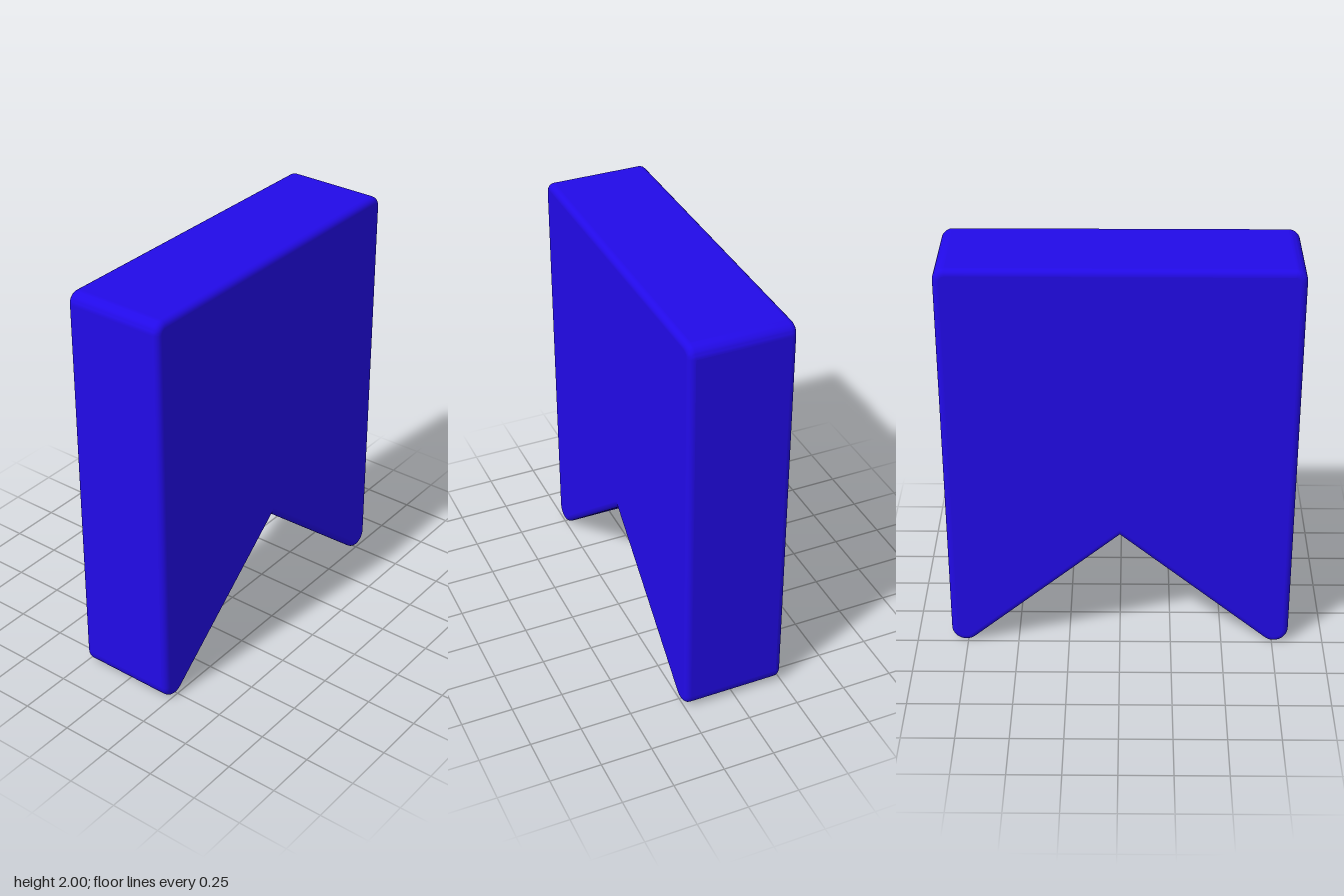
import * as THREE from 'three';
import { toCreasedNormals } from 'three/addons/utils/BufferGeometryUtils.js';

const HALF_WIDTH = 0.83, HEIGHT = 2, DEPTH = 0.5;
const NOTCH = 0.615, TIP_RADIUS = 0.07, TOP_RADIUS = 0.055, BEVEL = 0.03;

// Swallow-tailed banner outline with rounded outer corners, counterclockwise
function bannerShape() {
  const topX = HALF_WIDTH - TOP_RADIUS, topY = HEIGHT - TOP_RADIUS;
  const tipX = HALF_WIDTH - TIP_RADIUS;
  // slope of the notch edge, tangent to the rounded tip
  const rise = NOTCH - TIP_RADIUS;
  const slope = Math.atan2(rise, tipX) + Math.asin(TIP_RADIUS / Math.hypot(tipX, rise));
  const shape = new THREE.Shape();
  shape.absarc(topX, topY, TOP_RADIUS, 0, Math.PI / 2);
  shape.absarc(-topX, topY, TOP_RADIUS, Math.PI / 2, Math.PI);
  shape.absarc(-tipX, TIP_RADIUS, TIP_RADIUS, Math.PI, 1.5 * Math.PI + slope);
  shape.lineTo(0, NOTCH);
  shape.absarc(tipX, TIP_RADIUS, TIP_RADIUS, 1.5 * Math.PI - slope, 2 * Math.PI);
  shape.lineTo(HALF_WIDTH, topY);
  return shape;
}

// Smooth the rounded edges but keep the large faces perfectly flat
function smoothEdges(source) {
  const geometry = toCreasedNormals(source, 0.65);
  const { position, normal } = geometry.attributes;
  const tri = new THREE.Triangle(), n = new THREE.Vector3();
  for (let i = 0; i < position.count; i += 3) {
    tri.setFromAttributeAndIndices(position, i, i + 1, i + 2);
    tri.getNormal(n);
    if (Math.abs(n.z) > 0.999 || tri.getArea() > 0.02) {
      for (let k = 0; k < 3; k++) normal.setXYZ(i + k, n.x, n.y, n.z);
    }
  }
  return geometry;
}

export function createModel() {
  const group = new THREE.Group();
  group.name = 'bookmarkBanner';
  const geometry = new THREE.ExtrudeGeometry(bannerShape(), {
    depth: DEPTH - 2 * BEVEL,
    curveSegments: 5,
    bevelEnabled: true,
    bevelThickness: BEVEL,
    bevelSize: BEVEL,
    bevelOffset: -BEVEL,
    bevelSegments: 5,
  });
  geometry.translate(0, 0, BEVEL - DEPTH / 2);
  const banner = new THREE.Mesh(
    smoothEdges(geometry),
    new THREE.MeshStandardMaterial({ color: 0x220ae8 })
  );
  banner.name = 'banner';
  group.add(banner);
  return group;
}
